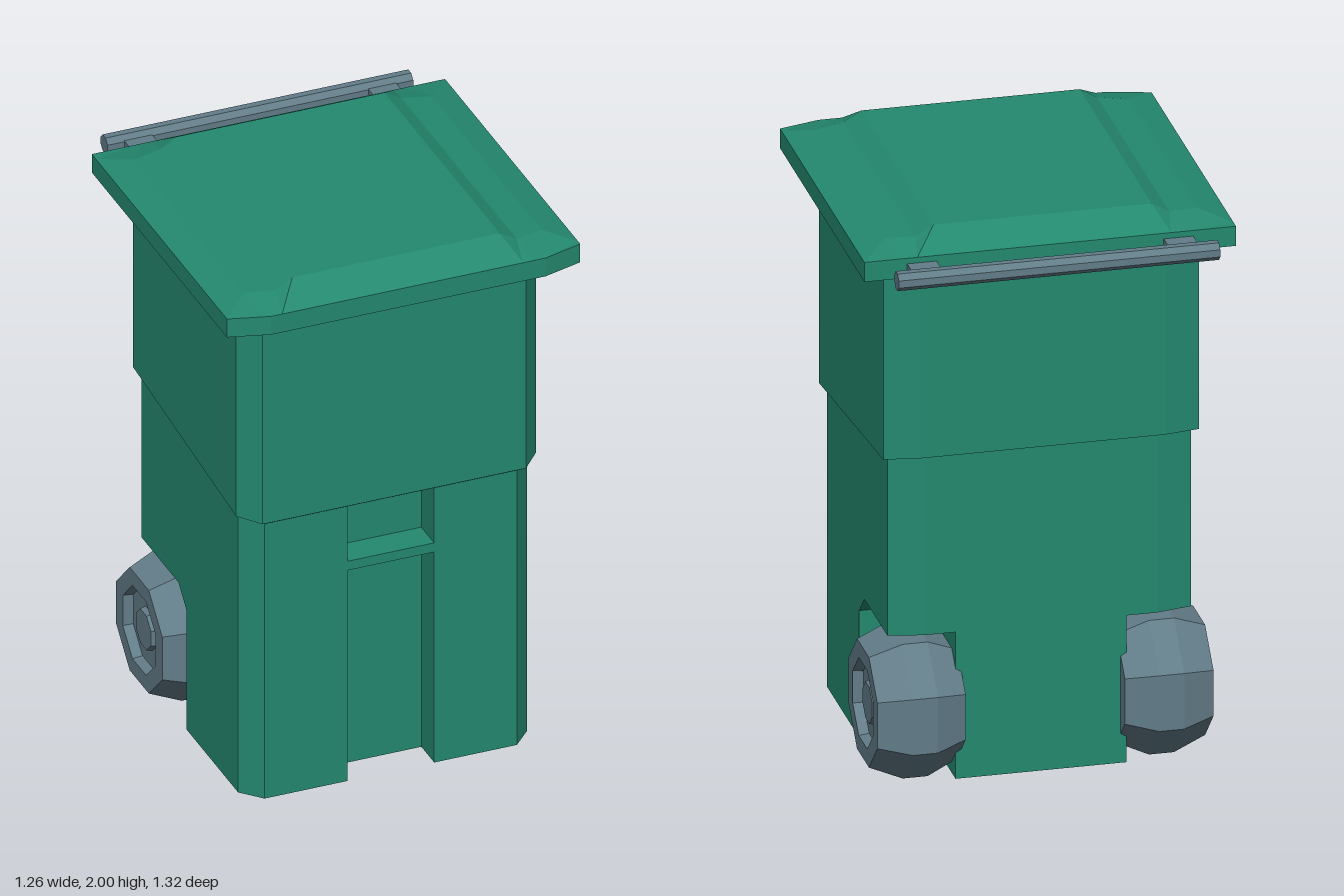
import * as THREE from 'three';

const green = new THREE.MeshStandardMaterial({ color: 0x24896f, flatShading: true });
green.name = 'green plastic';
const grey = new THREE.MeshStandardMaterial({ color: 0x627c88, flatShading: true });
grey.name = 'grey plastic';

// Completes a right-half plan outline [x, z] with its mirror image
const mirror = (pts) => [...pts, ...pts.map(([x, z]) => [-x, z]).reverse()];

// Vertical prism from a plan outline
function prism(outline, y0, y1) {
  const shape = new THREE.Shape(outline.map(([x, z]) => new THREE.Vector2(x, -z)));
  const geo = new THREE.ExtrudeGeometry(shape, { depth: y1 - y0, bevelEnabled: false });
  return geo.rotateX(-Math.PI / 2).translate(0, y0, 0);
}

// Surface through rows of points; closed rows wrap round
function skin(rows, closed = false, capFirst = false) {
  const pos = [];
  const n = rows[0].length;
  for (let r = 0; r < rows.length - 1; r++) {
    for (let i = 0; i < (closed ? n : n - 1); i++) {
      const j = (i + 1) % n;
      const a = rows[r][i], b = rows[r][j], c = rows[r + 1][j], d = rows[r + 1][i];
      pos.push(...a, ...b, ...c, ...a, ...c, ...d);
    }
  }
  if (capFirst) {
    for (let i = 1; i < n - 1; i++) pos.push(...rows[0][0], ...rows[0][i + 1], ...rows[0][i]);
  }
  const geo = new THREE.BufferGeometry();
  geo.setAttribute('position', new THREE.Float32BufferAttribute(pos, 3));
  geo.computeVertexNormals();
  return geo;
}

export function createModel() {
  const model = new THREE.Group();
  model.name = 'wheeledBin';
  const add = (name, geo, mat, parent = model) => {
    const mesh = new THREE.Mesh(geo, mat);
    mesh.name = name;
    parent.add(mesh);
    return mesh;
  };

  // Lower body with a front recess; the base is cut away for the wheels
  const front = [[0.155, 0.4], [0.155, 0.51], [0.45, 0.51], [0.515, 0.44]];
  const back = [[0.515, -0.385], [0.395, -0.41]];
  add('base', prism(mirror([...front, [0.515, 0], [0.29, 0], [0.29, -0.41]]), 0, 0.525), green);
  add('lowerBody', prism(mirror([...front, ...back]), 0.525, 1.2), green);

  // Grab bar across the recess
  add('grabBar', new THREE.BoxGeometry(0.31, 0.035, 0.11).translate(0, 0.8225, 0.455), green);

  // Upper body with a sloping lower rim
  const inner = mirror([[0.45, 0.51], [0.515, 0.44], ...back]);
  const outer = mirror([[0.47, 0.54], [0.535, 0.47], [0.535, -0.41], [0.415, -0.435]]);
  add('upperBody', skin([
    inner.map(([x, z]) => [x, 1.05 + 0.11 * (0.51 - z) / 0.92, z]),
    outer.map(([x, z]) => [x, 1.07 + 0.1 * (0.54 - z) / 0.975, z]),
    outer.map(([x, z]) => [x, 1.87, z]),
  ], true, true), green);

  // Lid: flat rim and a two-step raised top
  const lid = new THREE.Group();
  lid.name = 'lid';
  model.add(lid);
  add('lidRim', prism(mirror([[0.49, 0.66], [0.63, 0.62], [0.63, -0.535]]), 1.865, 1.935), green, lid);
  const lidRows = [
    [[0.63, 1.935, 0.62], [0.49, 1.935, 0.66], [0.45, 1.935, 0.66], [0.41, 1.935, 0.66]],
    [[0.63, 1.935, 0.6], [0.53, 1.96, 0.525], [0.43, 1.965, 0.555], [0.37, 2, 0.555]],
    [[0.63, 1.935, -0.5], [0.53, 1.96, -0.41], [0.43, 1.965, -0.43], [0.37, 2, -0.43]],
    [[0.63, 1.935, -0.535], [0.49, 1.935, -0.535], [0.45, 1.935, -0.535], [0.41, 1.935, -0.535]],
  ];
  add('lidTop', skin(lidRows.map((row) => [
    ...row.map(([x, y, z]) => [-x, y, z]), ...[...row].reverse(),
  ])), green, lid);

  // Handle bar behind the lid
  const bar = new THREE.CylinderGeometry(0.033, 0.033, 1.09, 8, 1, false, Math.PI / 8);
  add('handleBar', bar.rotateZ(Math.PI / 2).translate(0, 1.9, -0.633), grey);

  // Wheel profile: [distance from axle to flat side, position along the axle]
  const profile = [
    [0, 0.27], [0.195, 0.27], [0.24, 0.375], [0.24, 0.46], [0.197, 0.57],
    [0.14, 0.57], [0.135, 0.535], [0.07, 0.535], [0.065, 0.555], [0, 0.555],
  ].map(([r, x]) => new THREE.Vector2(r / Math.cos(Math.PI / 8), x));
  const wheelGeo = new THREE.LatheGeometry(profile, 8, Math.PI / 8).rotateZ(-Math.PI / 2);

  // Slanted corner of the wheel arch
  const corner = new THREE.Shape([[0, 0.455], [0.07, 0.525], [0, 0.525]].map((p) => new THREE.Vector2(...p)));
  const cornerGeo = new THREE.ExtrudeGeometry(corner, { depth: 0.225, bevelEnabled: false }).rotateY(Math.PI / 2);

  for (const side of [1, -1]) {
    const label = side > 0 ? 'left' : 'right';
    add(label + 'HandleBracket', new THREE.BoxGeometry(0.1, 0.03, 0.1).translate(side * 0.435, 1.9, -0.575), grey);
    add(label + 'ArchCorner', cornerGeo, green).position.x = side > 0 ? 0.29 : -0.515;
    const wheel = add(label + 'Wheel', wheelGeo, grey);
    wheel.position.set(0, 0.243, -0.273);
    wheel.rotation.y = side > 0 ? 0 : Math.PI;
  }
  return model;
}
